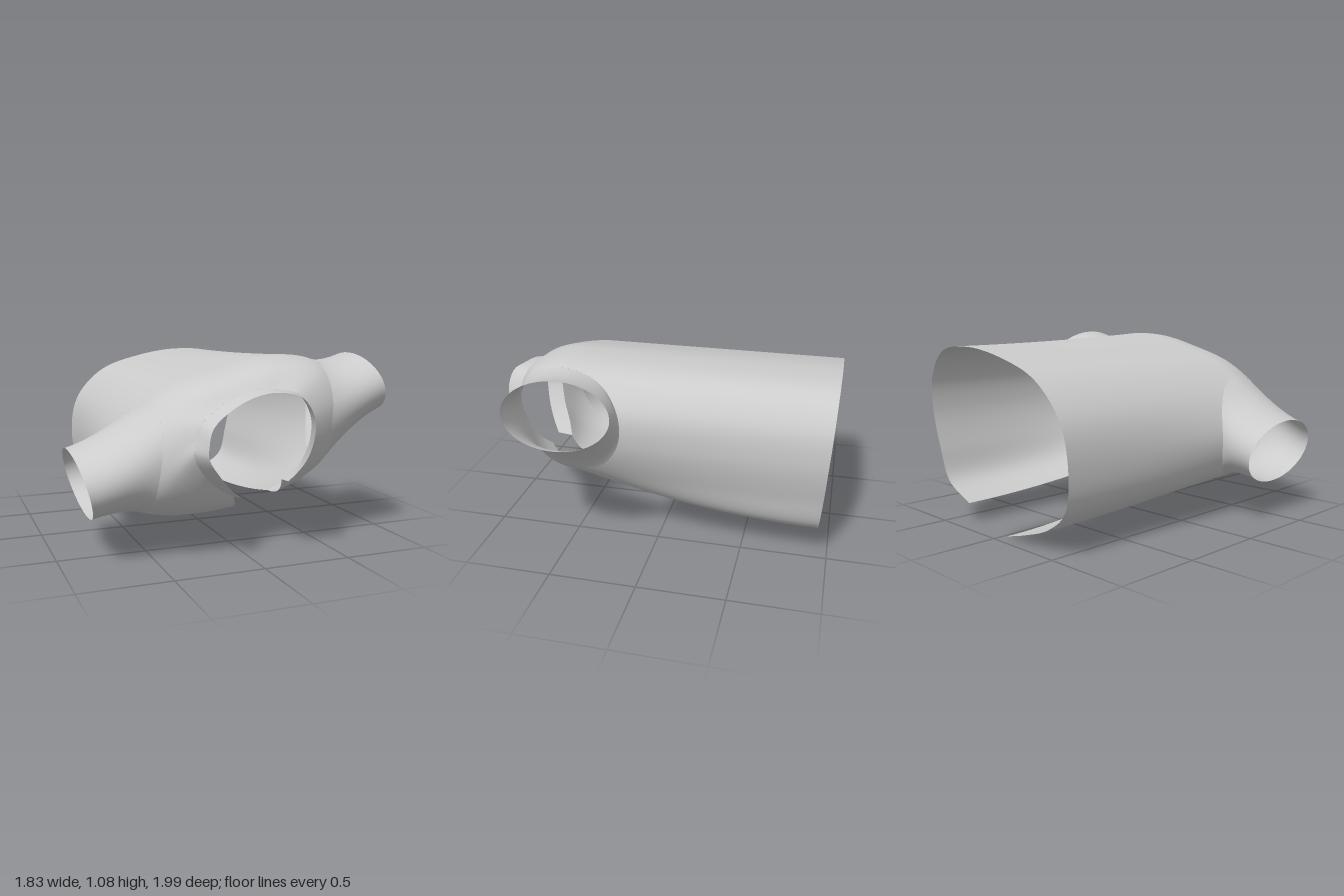
import * as THREE from 'three';

const material = new THREE.MeshStandardMaterial({ color: 0xcccccc, side: THREE.DoubleSide });
const curve = (pts) => new THREE.CatmullRomCurve3(pts.map(([x, y, z = 0]) => new THREE.Vector3(x, y, z)));

// Cross-sections, each running from the right front edge over the back to the left front edge
const hem = curve([
  [-0.02, 0], [-0.2, 0.05], [-0.42, 0.13], [-0.57, 0.25], [-0.61, 0.48], [-0.56, 0.71], [-0.38, 0.9], [-0.1, 1.0],
  [0.22, 1.045], [0.48, 1.01], [0.61, 0.86], [0.635, 0.66], [0.59, 0.42], [0.53, 0.23], [0.35, 0.12],
]);
const chest = curve([
  [-0.01, 0.22], [-0.22, 0.2], [-0.45, 0.21], [-0.63, 0.28], [-0.72, 0.47], [-0.62, 0.7], [-0.39, 0.9], [-0.04, 1.02],
  [0.24, 1.08], [0.54, 1.04], [0.7, 0.88], [0.69, 0.68], [0.57, 0.47], [0.42, 0.36], [0.25, 0.285],
]);
const neck = curve([
  [-0.07, 0.33, 0.74], [-0.17, 0.39, 0.79], [-0.28, 0.48, 0.86], [-0.355, 0.6, 0.9], [-0.34, 0.68, 0.89],
  [-0.3, 0.77, 0.87], [-0.15, 0.86, 0.83], [0, 0.915, 0.82], [0.12, 0.92, 0.835], [0.24, 0.89, 0.88],
  [0.3, 0.78, 0.9], [0.315, 0.66, 0.88], [0.31, 0.57, 0.84], [0.28, 0.48, 0.8], [0.21, 0.41, 0.76],
]);
const collarRim = curve([
  [-0.06, 0.345, 0.83], [-0.14, 0.4, 0.89], [-0.23, 0.49, 0.95], [-0.31, 0.6, 0.99], [-0.31, 0.67, 0.99],
  [-0.28, 0.75, 0.97], [-0.15, 0.84, 0.93], [0, 0.9, 0.92], [0.12, 0.91, 0.935], [0.21, 0.885, 0.98],
  [0.275, 0.78, 0.995], [0.29, 0.67, 0.97], [0.285, 0.56, 0.92], [0.26, 0.48, 0.87], [0.21, 0.415, 0.84],
]);

const SPLIT = 0.7; // where the torso starts rounding over into the shoulders

// Torso surface: u runs around the body, v from hem to neck
function torsoPoint(u, v) {
  const c = chest.getPoint(u);
  if (v <= SPLIT) {
    const s = v / SPLIT;
    const p = hem.getPoint(u).lerp(c, s * s);
    p.z = THREE.MathUtils.lerp(-0.925 - 0.07 * Math.sin(Math.PI * u), 0.5, s);
    return p;
  }
  const s = (v - SPLIT) / (1 - SPLIT);
  const t = s * Math.PI / 2;
  const n = neck.getPoint(u);
  const w = 0.2 * s + 0.8 * (1 - Math.cos(t));
  return new THREE.Vector3(
    THREE.MathUtils.lerp(c.x, n.x, w),
    THREE.MathUtils.lerp(c.y, n.y, w),
    THREE.MathUtils.lerp(0.5, n.z, 0.9 * Math.sin(t) ** 0.9 + 0.1 * w ** 4),
  );
}

// Grid surface over point(a, b), with an optional test that leaves cells out
function surface(name, na, nb, point, skip = () => false) {
  const pos = [];
  const index = [];
  for (let j = 0; j <= nb; j++) {
    for (let i = 0; i <= na; i++) pos.push(...point(i / na, j / nb).toArray());
  }
  for (let j = 0; j < nb; j++) {
    for (let i = 0; i < na; i++) {
      if (skip(i / na, j / nb, 1 / na, 1 / nb)) continue;
      const a = j * (na + 1) + i;
      const d = a + na + 1;
      index.push(a, d, a + 1, a + 1, d, d + 1);
    }
  }
  const g = new THREE.BufferGeometry();
  g.setAttribute('position', new THREE.Float32BufferAttribute(pos, 3));
  g.setIndex(index);
  g.computeVertexNormals();
  const mesh = new THREE.Mesh(g, material);
  mesh.name = name;
  return mesh;
}

// Armholes are ellipses on the torso surface; each cuff is an ellipse in space
const sleeves = [
  { name: 'rightSleeve', u: 4 / 14, du: 1.6 / 14, v: 0.725, dv: 0.185,
    cuff: [-0.87, 0.41, 0.465], tilt: [-0.05, 0.19, 0], inward: [0.17, 0.045, 0] },
  { name: 'leftSleeve', u: 10.5 / 14, du: 1.6 / 14, v: 0.725, dv: 0.185,
    cuff: [0.85, 0.905, 0.465], tilt: [0.06, -0.175, 0], inward: [-0.15, -0.05, 0] },
];
const armholeRadius = (s, u, v) => Math.hypot((u - s.u) / s.du, (v - s.v) / s.dv);
const inArmhole = (u, v) => sleeves.some((s) => armholeRadius(s, u, v) < 1);

// Grid points inside an armhole move out to its edge, giving a clean opening
function torsoWithArmholes(u, v) {
  for (const s of sleeves) {
    const r = armholeRadius(s, u, v);
    if (r > 0 && r < 1) return torsoPoint(s.u + (u - s.u) / r, s.v + (v - s.v) / r);
  }
  return torsoPoint(u, v);
}

// Sleeve flaring from the cuff into the armhole, fuller towards the front
function sleeve(s) {
  const centre = new THREE.Vector3(...s.cuff);
  const tilt = new THREE.Vector3(...s.tilt);
  const inward = new THREE.Vector3(...s.inward);
  return surface(s.name, 64, 10, (a, b) => {
    const t = a * Math.PI * 2;
    const root = torsoPoint(s.u + s.du * Math.cos(t), s.v + s.dv * Math.sin(t));
    const end = centre.clone().addScaledVector(tilt, Math.cos(t));
    end.z += 0.305 * Math.sin(t);
    const bend = end.clone().add(inward);
    bend.z += 0.03 * Math.max(0, Math.sin(t));
    return new THREE.QuadraticBezierCurve3(root, bend, end).getPoint(b);
  });
}

export function createModel() {
  const group = new THREE.Group();
  group.name = 'openShirt';

  // Torso, open down the front, with cells inside the armholes left out
  group.add(surface('torso', 140, 90, torsoWithArmholes, (u, v, du, dv) =>
    inArmhole(u, v) && inArmhole(u + du, v) && inArmhole(u, v + dv) && inArmhole(u + du, v + dv)));

  // Sleeves
  sleeves.forEach((s) => group.add(sleeve(s)));

  // Collar band standing up from the neck edge
  group.add(surface('collar', 56, 2, (u, b) => neck.getPoint(u).lerp(collarRim.getPoint(u), b)));

  return group;
}
